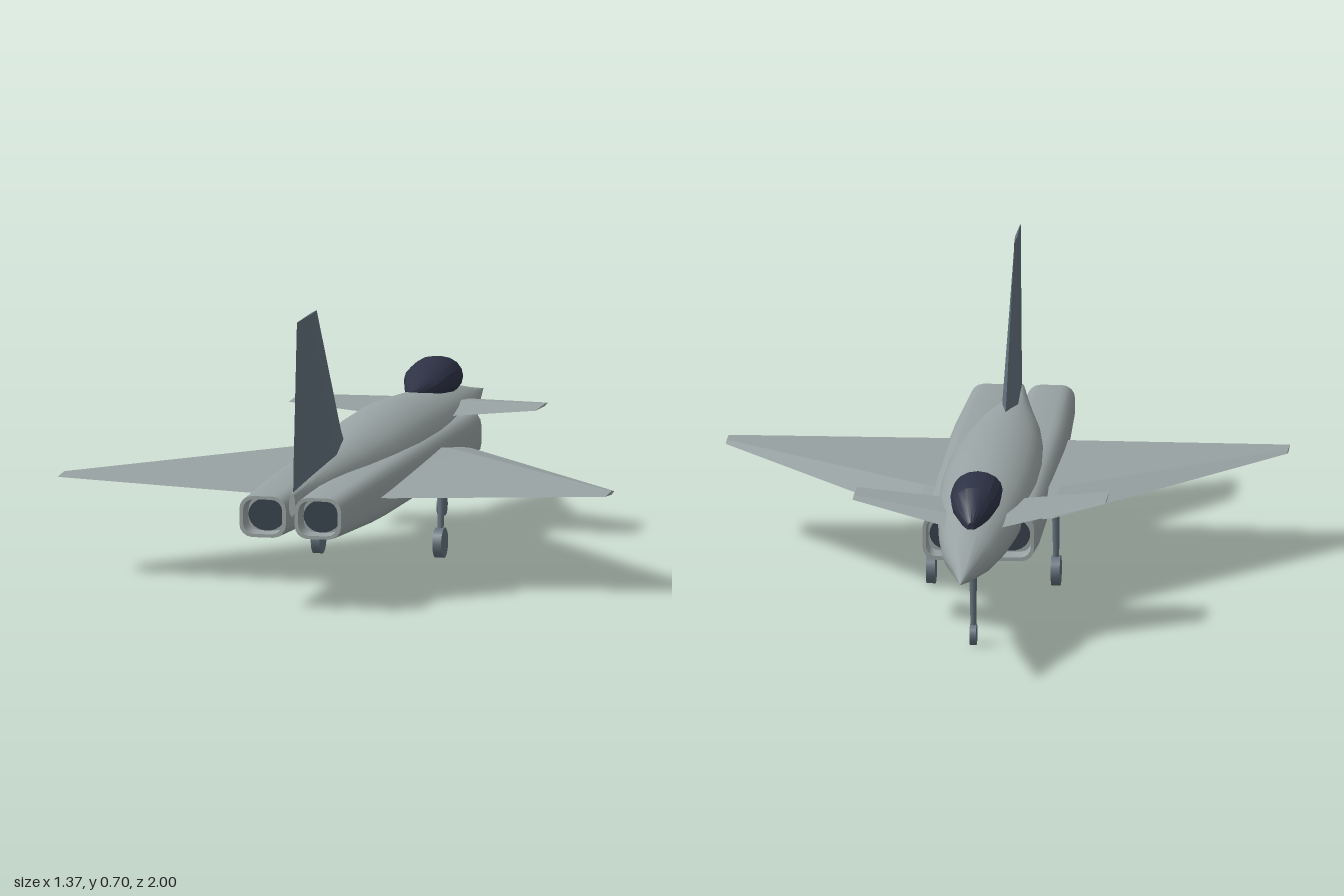
import * as THREE from 'three';
import { toCreasedNormals } from 'three/addons/utils/BufferGeometryUtils.js';

const mat = (name, color) => Object.assign(new THREE.MeshStandardMaterial({ color }), { name });

// Skin closed rings of [x, y, z] points, each counter-clockwise about the loft direction, with flat end caps
function loft(rings, { mirror = false, crease = 0.6 } = {}) {
  if (mirror) rings = rings.map(r => r.map(([x, y, z]) => [-x, y, z]).reverse());
  const n = rings[0].length, last = (rings.length - 1) * n, index = [];
  for (let i = 0; i < rings.length - 1; i++) {
    for (let j = 0; j < n; j++) {
      const a = i * n + j, b = i * n + (j + 1) % n;
      index.push(a, b, a + n, b, b + n, a + n);
    }
  }
  for (let j = 1; j < n - 1; j++) index.push(0, j + 1, j, last, last + j, last + j + 1);
  const g = new THREE.BufferGeometry();
  g.setAttribute('position', new THREE.Float32BufferAttribute(rings.flat(2), 3));
  g.setIndex(index);
  return toCreasedNormals(g, crease);
}

// Ellipse ring across z
function ellipse(z, w, bottom, top, n = 24) {
  return Array.from({ length: n }, (_, i) => {
    const a = (i / n) * Math.PI * 2;
    return [Math.cos(a) * w, (top + bottom) / 2 + Math.sin(a) * (top - bottom) / 2, z];
  });
}

// Rounded rectangle ring across z
function roundedRing(z, x0, x1, y0, y1, r) {
  const ring = [], corners = [[x1 - r, y1 - r], [x0 + r, y1 - r], [x0 + r, y0 + r], [x1 - r, y0 + r]];
  corners.forEach(([cx, cy], k) => {
    for (let s = 0; s <= 4; s++) {
      const a = (k + s / 4) * Math.PI / 2;
      ring.push([cx + r * Math.cos(a), cy + r * Math.sin(a), z]);
    }
  });
  return ring;
}

// Diamond aerofoil at x: leading and trailing z, ridge z, edge, top and bottom y
const foil = (x, lead, trail, ridge, y, top, bottom) =>
  [[x, top, ridge], [x, y, trail], [x, bottom, ridge], [x, y, lead]];

export function createModel() {
  const model = new THREE.Group();
  model.name = 'jetAircraft';
  const hull = mat('hullGrey', 0x98a2a2);
  const slate = mat('slateBlue', 0x63717c);
  const glass = mat('canopyGlass', 0x2d3245);
  const dark = mat('ductDark', 0x36404b);

  const add = (name, geometry, material, parent = model) => {
    const mesh = new THREE.Mesh(geometry, material);
    mesh.name = name;
    parent.add(mesh);
    return mesh;
  };

  // Fuselage: z, half width, bottom, top
  add('fuselage', loft([
    [-1, 0.001, 0.249, 0.251], [-0.86, 0.028, 0.222, 0.275], [-0.7, 0.065, 0.2, 0.305],
    [-0.55, 0.086, 0.188, 0.325], [-0.4, 0.1, 0.183, 0.338], [-0.25, 0.112, 0.18, 0.35],
    [-0.08, 0.118, 0.18, 0.36], [0.12, 0.116, 0.185, 0.36], [0.3, 0.106, 0.19, 0.351],
    [0.5, 0.084, 0.2, 0.338], [0.68, 0.055, 0.205, 0.32], [0.84, 0.03, 0.215, 0.303],
    [0.98, 0.008, 0.23, 0.287],
  ].map(s => ellipse(...s))), hull);

  // Canopy
  add('canopy', loft([
    [-0.665, 0.008, 0.3, 0.326], [-0.63, 0.03, 0.3, 0.358], [-0.575, 0.053, 0.3, 0.393],
    [-0.5, 0.062, 0.3, 0.405], [-0.43, 0.06, 0.31, 0.4], [-0.36, 0.042, 0.31, 0.376],
    [-0.287, 0.012, 0.32, 0.352],
  ].map(s => ellipse(...s, 16)), { crease: 0.4 }), glass);

  // Tail fin: y, leading z, trailing z, half thickness
  add('tailFin', loft([
    [0.26, 0.43, 0.97, 0.018], [0.335, 0.44, 0.966, 0.019], [0.37, 0.475, 0.963, 0.018],
    [0.7, 0.725, 0.93, 0.003],
  ].map(([y, lead, trail, t]) => {
    const mid = lead + (trail - lead) * 0.3;
    return [[0, y, trail], [t, y, mid], [0, y, lead], [-t, y, mid]];
  }), { crease: 0.1 }), slate);

  for (const [side, s] of [['left', 1], ['right', -1]]) {
    const mirror = s < 0;

    // Engine duct: hollow at the intake and at the nozzle
    add(side + 'EngineDuct', loft([
      roundedRing(-0.37, 0.028, 0.125, 0.187, 0.273, 0.025),
      roundedRing(-0.418, 0.025, 0.128, 0.183, 0.277, 0.026),
      roundedRing(-0.418, 0.014, 0.136, 0.174, 0.286, 0.032),
      roundedRing(-0.28, 0.005, 0.14, 0.165, 0.29, 0.035),
      roundedRing(0.5, 0.005, 0.14, 0.165, 0.29, 0.035),
      roundedRing(0.64, 0.006, 0.138, 0.167, 0.289, 0.035),
      roundedRing(1, 0.011, 0.127, 0.18, 0.281, 0.032),
      roundedRing(1, 0.02, 0.118, 0.188, 0.273, 0.027),
      roundedRing(0.95, 0.022, 0.116, 0.19, 0.271, 0.027),
    ], { mirror }), hull);
    for (const [name, x, z, face] of [['Intake', 0.0765, -0.373, -1], ['Nozzle', 0.069, 0.953, 1]]) {
      const disc = add(side + name, new THREE.CylinderGeometry(1, 1, 0.006, 24).rotateX(face * Math.PI / 2), dark);
      disc.scale.set(0.046, 0.04, 1);
      disc.position.set(s * x, 0.23, z);
    }

    // Main wing
    add(side + 'Wing', loft([
      foil(0.08, -0.235, 0.643, 0, 0.229, 0.262, 0.192),
      foil(0.165, -0.195, 0.634, 0.01, 0.23, 0.26, 0.196),
      foil(0.684, 0.476, 0.573, 0.505, 0.243, 0.247, 0.238),
    ], { mirror, crease: 0.06 }), hull);

    // Canard
    add(side + 'Canard', loft([
      foil(0.05, -0.58, -0.265, -0.48, 0.291, 0.302, 0.28),
      foil(0.308, -0.4, -0.265, -0.36, 0.316, 0.319, 0.313),
    ], { mirror, crease: 0.06 }), hull);
  }

  // Landing gear: strut from top to axle, and wheel
  const gear = (name, x, top, axle, radius, width) => {
    const group = new THREE.Group();
    group.name = name;
    model.add(group);
    const a = new THREE.Vector3(x, ...top), b = new THREE.Vector3(x, ...axle);
    const strut = add(name + 'Strut', new THREE.CylinderGeometry(0.01, 0.007, a.distanceTo(b), 10), slate, group);
    strut.position.copy(a).add(b).multiplyScalar(0.5);
    strut.quaternion.setFromUnitVectors(new THREE.Vector3(0, 1, 0), a.clone().sub(b).normalize());
    const wheel = add(name + 'Wheel', new THREE.CylinderGeometry(radius, radius, width, 20).rotateZ(Math.PI / 2), slate, group);
    wheel.position.copy(b);
  };
  gear('noseGear', 0, [0.215, -0.587], [0.027, -0.576], 0.026, 0.016);
  gear('leftMainGear', 0.152, [0.215, 0.058], [0.037, 0.074], 0.037, 0.022);
  gear('rightMainGear', -0.152, [0.215, 0.058], [0.037, 0.074], 0.037, 0.022);

  return model;
}
